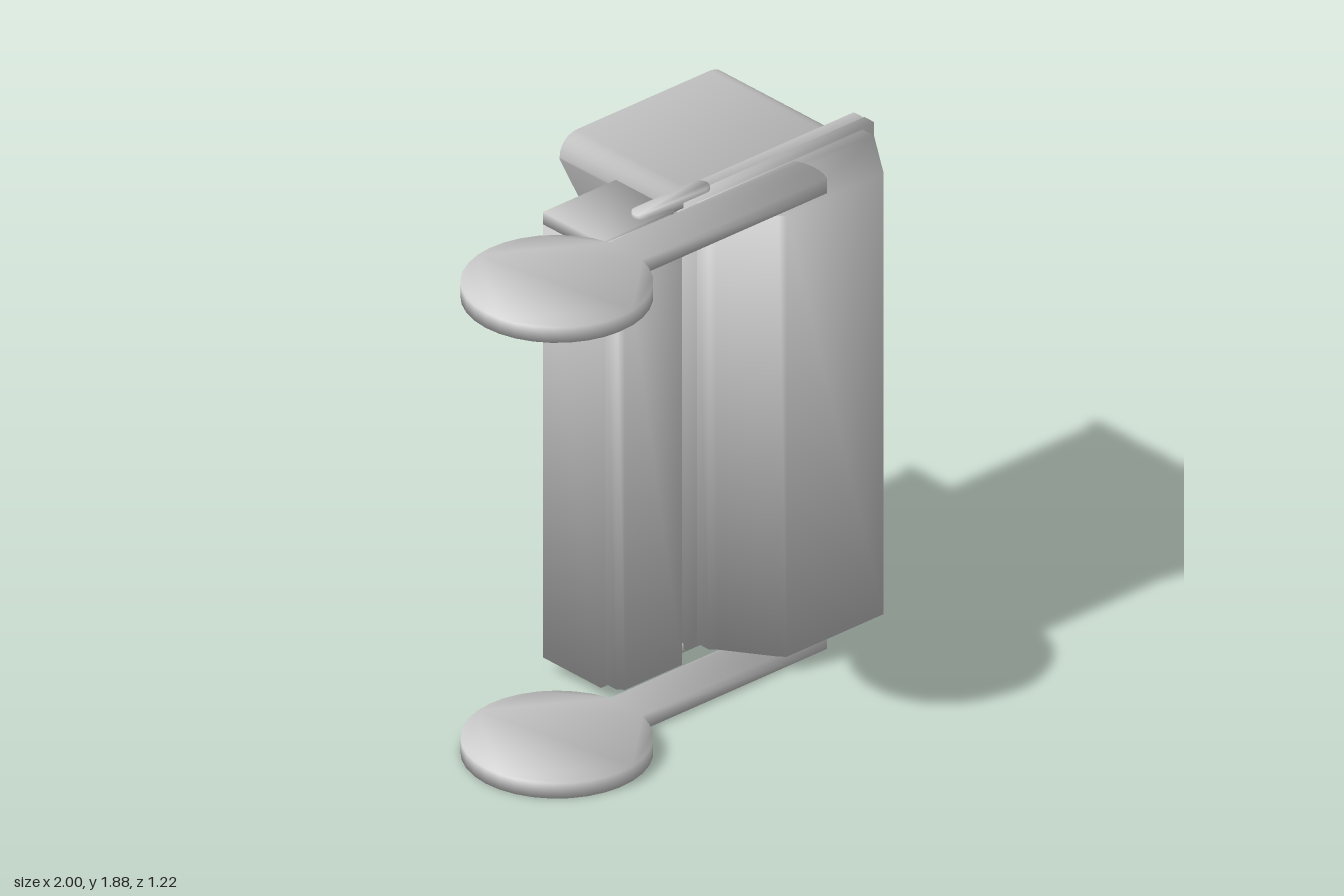
import * as THREE from 'three';
import { mergeVertices } from 'three/addons/utils/BufferGeometryUtils.js';

const grey = new THREE.MeshStandardMaterial({ color: 0xcccccc });
grey.name = 'light grey metal';

// weld all corners and give them soft, angle-weighted normals
function soften(source) {
  source.deleteAttribute('uv');
  source.deleteAttribute('normal');
  const g = mergeVertices(source, 1e-4);
  const pos = g.attributes.position, idx = g.index;
  const sums = Array.from({ length: pos.count }, () => new THREE.Vector3());
  for (let f = 0; f < idx.count; f += 3) {
    const ids = [0, 1, 2].map((k) => idx.getX(f + k));
    const p = ids.map((i) => new THREE.Vector3().fromBufferAttribute(pos, i));
    const n = new THREE.Triangle(...p).getNormal(new THREE.Vector3());
    for (let k = 0; k < 3; k++) {
      const a = p[(k + 1) % 3].clone().sub(p[k]), b = p[(k + 2) % 3].clone().sub(p[k]);
      sums[ids[k]].addScaledVector(n, a.angleTo(b));
    }
  }
  const normals = sums.flatMap((s) => s.normalize().toArray());
  g.setAttribute('normal', new THREE.Float32BufferAttribute(normals, 3));
  return g;
}

function add(parent, name, geometry) {
  const mesh = new THREE.Mesh(soften(geometry), grey);
  mesh.name = name;
  parent.add(mesh);
}

function group(parent, name) {
  const g = new THREE.Group();
  g.name = name;
  parent.add(g);
  return g;
}

// box from its limits
function box(x0, x1, y0, y1, z0, z1) {
  return new THREE.BoxGeometry(x1 - x0, y1 - y0, z1 - z0)
    .translate((x0 + x1) / 2, (y0 + y1) / 2, (z0 + z1) / 2);
}

// plan outline given as [x, z] points, raised from y0 to y1
function prism(points, y0, y1) {
  const shape = new THREE.Shape(points.map(([x, z]) => new THREE.Vector2(x, -z)));
  return new THREE.ExtrudeGeometry(shape, { depth: y1 - y0, bevelEnabled: false })
    .rotateX(-Math.PI / 2).translate(0, y0, 0);
}

function roundedRect(x0, x1, y0, y1, r, Type = THREE.Shape) {
  const s = new Type();
  s.absarc(x1 - r, y0 + r, r, -Math.PI / 2, 0);
  s.absarc(x1 - r, y1 - r, r, 0, Math.PI / 2);
  s.absarc(x0 + r, y1 - r, r, Math.PI / 2, Math.PI);
  s.absarc(x0 + r, y0 + r, r, Math.PI, Math.PI * 1.5);
  s.closePath();
  return s;
}

// lamp opening below a hood whose top is at t
const opening = (t, Type) => roundedRect(0.172, 0.936, t - 0.753, t - 0.012, 0.085, Type);

// upright plate between z0 and z1
function plate(shape, z0, z1) {
  return new THREE.ExtrudeGeometry(shape, { depth: z1 - z0, bevelEnabled: false, curveSegments: 6 })
    .translate(0, 0, z0);
}

// inverted U in x and y, moved inwards by inset
function hoodOutline(x0, x1, top, bottom, inset) {
  const r = 0.08, points = [[x0 + inset, bottom], [x0 + inset, top - 0.09]];
  for (const [cx, start] of [[x0 + r, Math.PI], [x1 - r, Math.PI / 2]]) {
    for (let i = 0; i <= 6; i++) {
      const a = start - (i / 6) * Math.PI / 2;
      points.push([cx + (r - inset) * Math.cos(a), top - r + (r - inset) * Math.sin(a)]);
    }
  }
  points.push([x1 - inset, top - 0.09], [x1 - inset, bottom]);
  return points;
}

// hood: thin shell swept backwards, its sides cut on a slant
function hoodGeometry(x0, x1, top) {
  const bottom = top - 0.645, lip = top - 0.09;
  const outer = hoodOutline(x0, x1, top, bottom, 0);
  const inner = hoodOutline(x0, x1, top, bottom, 0.008);
  const position = [], index = [];
  const back = (y) => -0.11 - 0.5 * Math.min(1, (y - bottom) / (lip - bottom));
  outer.forEach(([x, y], i) => {
    const [u, v] = inner[i];
    position.push(x, y, -0.01, x, y, back(y), u, v, back(v), u, v, -0.01);
    if (i) {
      const a = 4 * i - 4, b = 4 * i;
      for (let k = 0; k < 4; k++) {
        const n = (k + 1) % 4;
        index.push(a + k, b + k, a + n, a + n, b + k, b + n);
      }
    }
  });
  const e = 4 * (outer.length - 1);
  index.push(0, 1, 2, 0, 2, 3, e, e + 2, e + 1, e, e + 3, e + 2);
  const g = new THREE.BufferGeometry();
  g.setAttribute('position', new THREE.Float32BufferAttribute(position, 3));
  g.setIndex(index);
  return g;
}

export function createModel() {
  const model = new THREE.Group();
  model.name = 'pedestrianSignal';

  // mounting arms: round pad running into a bar with a bowed end
  const cx = -0.662, cz = 0.272, R = 0.338, half = 0.085;
  const armOutline = [];
  const open = Math.asin(half / R);
  for (let i = 0; i <= 30; i++) {
    const a = open + (i / 30) * (2 * Math.PI - 2 * open);
    armOutline.push([cx + R * Math.cos(a), cz + R * Math.sin(a)]);
  }
  for (let i = 0; i <= 6; i++) {
    const t = -1 + i / 3;
    armOutline.push([0.562 - 0.02 * t * t, cz + half * t]);
  }
  add(model, 'upperArm', prism(armOutline, 1.82, 1.88));
  add(model, 'lowerArm', prism(armOutline, 0, 0.06));

  // lamp housing with tapered front
  const housing = group(model, 'housing');
  add(housing, 'housingBody', prism([
    [0.16, 0.1], [0.16, 0.16], [0.18, 0.18], [0.305, 0.365], [0.325, 0.385],
    [0.785, 0.385], [0.945, 0.16], [0.945, 0.1],
  ], 0.06, 1.82));
  add(housing, 'housingRim', box(0.11, 1, 0.05, 1.83, 0.05, 0.1));

  // open rim, and for each lamp a door, lens, frame and hood
  const rim = roundedRect(0.11, 1, 0.05, 1.83, 0.008);
  for (const t of [0.92, 1.795]) {
    rim.holes.push(opening(t, THREE.Path));
    const lamp = group(housing, t > 1 ? 'upperLamp' : 'lowerLamp');
    const door = roundedRect(0.12, 0.98, t - 0.855, t + 0.018, 0.008);
    door.holes.push(opening(t, THREE.Path));
    add(lamp, 'door', plate(door, -0.012, 0));
    const frame = roundedRect(0.16, 0.948, t - 0.765, t, 0.09);
    frame.holes.push(opening(t, THREE.Path));
    add(lamp, 'lensFrame', plate(frame, -0.02, -0.012));
    add(lamp, 'lens', plate(opening(t), 0.035, 0.05));
    add(lamp, 'hood', hoodGeometry(0.158, 0.95, t));
  }
  add(housing, 'openRim', plate(rim, 0, 0.05));

  // hinged bracket post: channel open to the back, closed on top
  const post = group(model, 'bracketPost');
  add(post, 'channel', prism([
    [-0.295, -0.2], [-0.295, 0.1], [0.05, 0.1], [0.05, -0.2],
    [0.042, -0.2], [0.042, -0.05], [-0.287, -0.05], [-0.287, -0.2],
  ], 0.05, 1.78));
  add(post, 'channelCap', box(-0.295, 0.05, 1.78, 1.83, -0.2, 0.1));
  add(post, 'postFront', prism([
    [-0.275, 0.1], [-0.275, 0.155], [-0.255, 0.18], [0.015, 0.18], [0.035, 0.155], [0.035, 0.1],
  ], 0.06, 1.82));

  // hinge links joining post and housing
  const linkOutline = [];
  for (let i = 0; i < 20; i++) {
    const a = -Math.PI / 2 + (i % 10) * Math.PI / 9 + (i < 10 ? 0 : Math.PI);
    linkOutline.push([(i < 10 ? 0.22 : -0.055) + 0.036 * Math.cos(a), 0.048 + 0.036 * Math.sin(a)]);
  }
  add(model, 'upperLink', prism(linkOutline, 1.81, 1.845));
  add(model, 'lowerLink', prism(linkOutline, 0.035, 0.07));

  return model;
}
